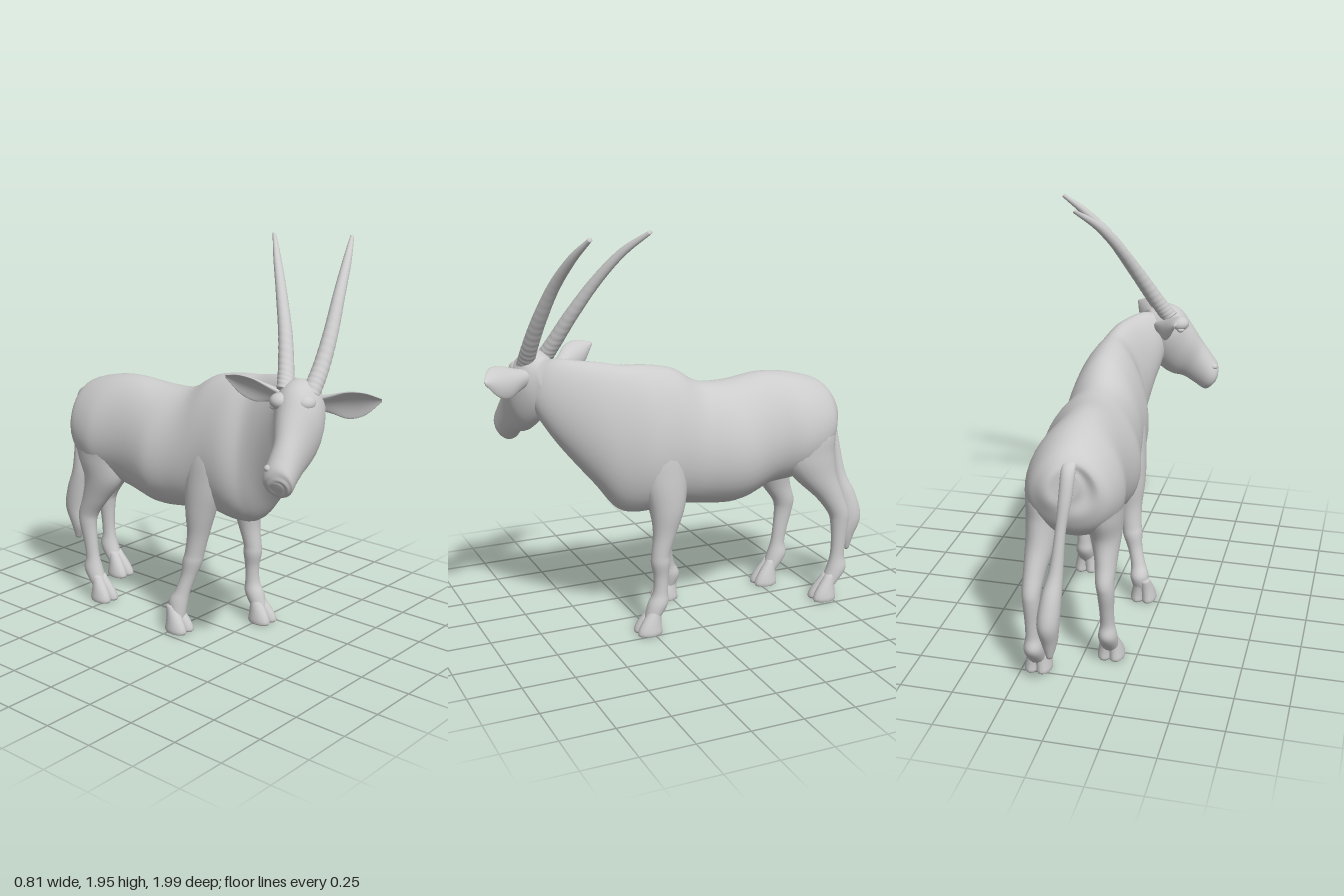
import * as THREE from 'three';

const grey = new THREE.MeshStandardMaterial({ color: 0xcccccc, side: THREE.DoubleSide });
const V = (x, y, z) => new THREE.Vector3(x, y, z);

// Smooth skin through oval sections. Each section: [upper point, lower point, half width].
// taper narrows the upper half, cup bends a flat section, ripple adds growth rings.
function loft(name, sections, { steps = 6, sides = 28, taper = 0, cup = 0, ripple = 0 } = {}) {
  const curve = (f) => new THREE.CatmullRomCurve3(sections.map(f), false, 'catmullrom', 0.5);
  const upper = curve((s) => V(s[0], s[1], s[2]));
  const lower = curve((s) => V(s[3], s[4], s[5]));
  const width = curve((s) => V(s[6], 0, 0));
  const n = (sections.length - 1) * steps;
  const middle = (t) => upper.getPoint(t).add(lower.getPoint(t)).multiplyScalar(0.5);
  const pos = [], index = [];
  for (let i = 0; i <= n; i++) {
    const t = i / n;
    const c = middle(t);
    const u = upper.getPoint(t).sub(c);
    const dir = middle(Math.min(1, t + 0.01)).sub(middle(Math.max(0, t - 0.01)));
    const side = u.clone().cross(dir).normalize();
    const w = Math.max(0.002, width.getPoint(t).x);
    const swell = 1 + ripple * Math.sin(t * 150) * Math.max(0, 1 - t * 1.3);
    for (let j = 0; j < sides; j++) {
      const a = (j / sides) * Math.PI * 2, k = Math.cos(a);
      const across = w * Math.sin(a) * (1 - taper * k) * swell + cup * k * k * u.length();
      const p = c.clone().addScaledVector(u, k * swell).addScaledVector(side, across);
      pos.push(p.x, p.y, p.z);
    }
  }
  for (let i = 0; i < n; i++) {
    for (let j = 0; j < sides; j++) {
      const a = i * sides + j, b = i * sides + (j + 1) % sides;
      index.push(a, a + sides, b, a + sides, b + sides, b);
    }
  }
  // end caps
  const first = middle(0), last = middle(1), f = pos.length / 3;
  pos.push(first.x, first.y, first.z, last.x, last.y, last.z);
  for (let j = 0; j < sides; j++) {
    const k = (j + 1) % sides;
    index.push(j, k, f, n * sides + k, n * sides + j, f + 1);
  }
  const geo = new THREE.BufferGeometry();
  geo.setAttribute('position', new THREE.Float32BufferAttribute(pos, 3));
  geo.setIndex(index);
  geo.computeVertexNormals();
  const mesh = new THREE.Mesh(geo, grey);
  mesh.name = name;
  return mesh;
}

// Limb along y. Rows: [y, x, z, half depth, half width].
const limb = (name, rows, opt) =>
  loft(name, rows.map(([y, x, z, d, w]) => [x, y, z + d, x, y, z - d, w]), { sides: 20, ...opt });

// Leg with a cloven hoof at (x, z)
function leg(name, rows, x, z) {
  const group = new THREE.Group();
  group.name = name;
  group.add(limb(name + 'Limb', rows));
  for (const s of [-1, 1]) {
    group.add(limb('hoof', [
      [0.13, x + s * 0.012, z - 0.038, 0.026, 0.024],
      [0.08, x + s * 0.018, z - 0.014, 0.042, 0.032],
      [0.04, x + s * 0.024, z, 0.056, 0.036],
      [0.012, x + s * 0.027, z + 0.004, 0.063, 0.038],
      [0, x + s * 0.027, z + 0.004, 0.058, 0.034],
    ], { sides: 14, steps: 3 }));
  }
  return group;
}

export function createModel() {
  const model = new THREE.Group();
  model.name = 'antelope';

  // Trunk and neck, rump to throat
  model.add(loft('body', [
    [0.01, 1.05, -0.785, 0.01, 0.93, -0.785, 0.05],
    [0.015, 1.1, -0.765, 0.015, 0.82, -0.77, 0.14],
    [0.02, 1.145, -0.7, 0.02, 0.72, -0.71, 0.195],
    [0.025, 1.185, -0.56, 0.025, 0.65, -0.58, 0.225],
    [0.025, 1.2, -0.4, 0.025, 0.625, -0.42, 0.205],
    [0.045, 1.182, -0.2, 0.05, 0.572, -0.22, 0.238],
    [0.05, 1.195, -0.05, 0.05, 0.585, -0.03, 0.205],
    [0.06, 1.27, 0.08, 0.05, 0.6, 0.1, 0.192],
    [0.065, 1.3, 0.22, 0.05, 0.58, 0.26, 0.19],
    [0.07, 1.31, 0.34, 0.04, 0.61, 0.37, 0.152],
    [0.055, 1.33, 0.45, 0.02, 0.74, 0.47, 0.13],
    [0.02, 1.34, 0.55, -0.02, 0.88, 0.58, 0.11],
    [-0.03, 1.345, 0.62, -0.06, 1.0, 0.66, 0.095],
    [-0.08, 1.33, 0.67, -0.1, 1.1, 0.71, 0.075],
  ], { taper: 0.14, sides: 40 }));

  // Head, poll to muzzle
  model.add(loft('head', [
    [-0.04, 1.34, 0.665, -0.01, 1.2, 0.665, 0.06],
    [-0.12, 1.375, 0.69, -0.04, 1.1, 0.7, 0.1],
    [-0.2, 1.345, 0.71, -0.09, 1.03, 0.73, 0.108],
    [-0.26, 1.26, 0.735, -0.15, 0.985, 0.745, 0.09],
    [-0.315, 1.165, 0.755, -0.215, 0.965, 0.765, 0.07],
    [-0.365, 1.09, 0.765, -0.275, 0.93, 0.77, 0.07],
    [-0.397, 1.04, 0.77, -0.32, 0.9, 0.775, 0.07],
    [-0.402, 1.0, 0.775, -0.345, 0.905, 0.78, 0.052],
    [-0.395, 0.975, 0.778, -0.365, 0.93, 0.78, 0.025],
  ], { taper: -0.1 }));

  // Brow, eye and nostril on each side
  for (const s of [-1, 1]) {
    const bump = (name, x, y, z, spread, r) => {
      const m = new THREE.Mesh(new THREE.SphereGeometry(r, 18, 12), grey);
      m.name = name;
      m.scale.y = 0.75;
      m.position.set(x + s * spread * 0.37, y, z + s * spread * 0.93);
      model.add(m);
    };
    bump('brow', -0.185, 1.285, 0.712, 0.052, 0.052);
    bump('eye', -0.185, 1.26, 0.715, 0.086, 0.02);
    bump('nostril', -0.368, 1.035, 0.772, 0.036, 0.022);
  }

  // Long ringed horns sweeping back
  const hornRadii = [0.042, 0.038, 0.034, 0.028, 0.021, 0.01];
  const horn = (name, path) => limb(name,
    path.map(([x, y, z], i) => [y, x, z, hornRadii[i], hornRadii[i]]), { steps: 24, ripple: 0.022 });
  model.add(horn('leftHorn', [[-0.11, 1.31, 0.75], [-0.035, 1.41, 0.748], [0.06, 1.55, 0.73],
    [0.17, 1.71, 0.695], [0.29, 1.845, 0.65], [0.395, 1.94, 0.602]]));
  model.add(horn('rightHorn', [[-0.155, 1.32, 0.65], [-0.1, 1.41, 0.61], [-0.025, 1.55, 0.545],
    [0.06, 1.71, 0.455], [0.15, 1.845, 0.36], [0.248, 1.94, 0.265]]));

  // Cupped leaf-shaped ears, upper rim leaning over the opening
  const ear = (name, a, b, size, cup) => loft(name,
    [[0, 0.028, 0.024], [0.25, 0.047, 0.02], [0.5, 0.07, 0.014], [0.75, 0.058, 0.01], [1, 0.008, 0.004]]
      .map(([t, h, w]) => {
        const p = V(...a).lerp(V(...b), t);
        const rim = V(-0.5, 1, 0.28).multiplyScalar(h * size);
        return [...p.clone().add(rim), ...p.clone().sub(rim), w];
      }), { cup, sides: 24 });
  model.add(ear('leftEar', [-0.06, 1.27, 0.74], [0.085, 1.29, 0.995], 1, -0.4));
  model.add(ear('rightEar', [-0.1, 1.28, 0.61], [-0.235, 1.36, 0.375], 0.85, 0.4));

  // Front legs, shoulder to pastern
  model.add(leg('leftFrontLeg', [
    [1.12, 0.13, 0.15, 0.04, 0.03], [0.94, 0.165, 0.17, 0.115, 0.072], [0.77, 0.18, 0.17, 0.112, 0.078],
    [0.62, 0.19, 0.163, 0.086, 0.07], [0.5, 0.193, 0.178, 0.058, 0.053], [0.4, 0.195, 0.2, 0.046, 0.045],
    [0.35, 0.195, 0.202, 0.047, 0.045], [0.28, 0.195, 0.2, 0.036, 0.035], [0.2, 0.195, 0.203, 0.037, 0.036],
    [0.14, 0.195, 0.218, 0.05, 0.046], [0.06, 0.195, 0.255, 0.035, 0.04],
  ], 0.195, 0.265));
  model.add(leg('rightFrontLeg', [
    [1.12, -0.02, 0.12, 0.04, 0.03], [0.94, -0.06, 0.13, 0.115, 0.07], [0.77, -0.075, 0.115, 0.105, 0.076],
    [0.62, -0.08, 0.095, 0.078, 0.072], [0.5, -0.083, 0.082, 0.054, 0.058], [0.4, -0.092, 0.066, 0.047, 0.05],
    [0.35, -0.1, 0.057, 0.048, 0.049], [0.28, -0.115, 0.045, 0.038, 0.037], [0.2, -0.135, 0.025, 0.038, 0.036],
    [0.14, -0.147, 0.006, 0.05, 0.046], [0.06, -0.16, 0.015, 0.035, 0.04],
  ], -0.165, 0.025));

  // Hind legs, thigh to pastern
  model.add(leg('leftHindLeg', [
    [1.08, 0.1, -0.58, 0.06, 0.03], [0.92, 0.145, -0.595, 0.165, 0.085], [0.78, 0.155, -0.61, 0.155, 0.085],
    [0.66, 0.16, -0.665, 0.115, 0.072], [0.55, 0.17, -0.742, 0.075, 0.053], [0.46, 0.175, -0.793, 0.056, 0.044],
    [0.4, 0.175, -0.803, 0.048, 0.04], [0.3, 0.175, -0.8, 0.038, 0.034], [0.22, 0.175, -0.795, 0.038, 0.034],
    [0.15, 0.175, -0.79, 0.053, 0.045], [0.06, 0.175, -0.735, 0.035, 0.04],
  ], 0.175, -0.715));
  model.add(leg('rightHindLeg', [
    [1.08, -0.05, -0.56, 0.06, 0.03], [0.92, -0.095, -0.565, 0.165, 0.085], [0.78, -0.105, -0.56, 0.15, 0.085],
    [0.66, -0.11, -0.545, 0.115, 0.072], [0.55, -0.12, -0.59, 0.08, 0.053], [0.46, -0.125, -0.637, 0.06, 0.044],
    [0.4, -0.13, -0.642, 0.05, 0.04], [0.3, -0.13, -0.625, 0.04, 0.034], [0.22, -0.13, -0.612, 0.038, 0.034],
    [0.15, -0.13, -0.605, 0.053, 0.045], [0.06, -0.13, -0.555, 0.035, 0.04],
  ], -0.13, -0.535));

  // Tail with a tuft
  model.add(limb('tail', [
    [1.11, 0, -0.7, 0.02, 0.02], [1.07, 0, -0.775, 0.03, 0.032], [0.95, 0.005, -0.82, 0.028, 0.03],
    [0.8, 0.02, -0.85, 0.024, 0.024], [0.62, 0.035, -0.875, 0.036, 0.032], [0.5, 0.05, -0.91, 0.055, 0.046],
    [0.38, 0.06, -0.933, 0.062, 0.05], [0.28, 0.06, -0.915, 0.045, 0.036], [0.2, 0.06, -0.92, 0.014, 0.014],
  ]));

  return model;
}
